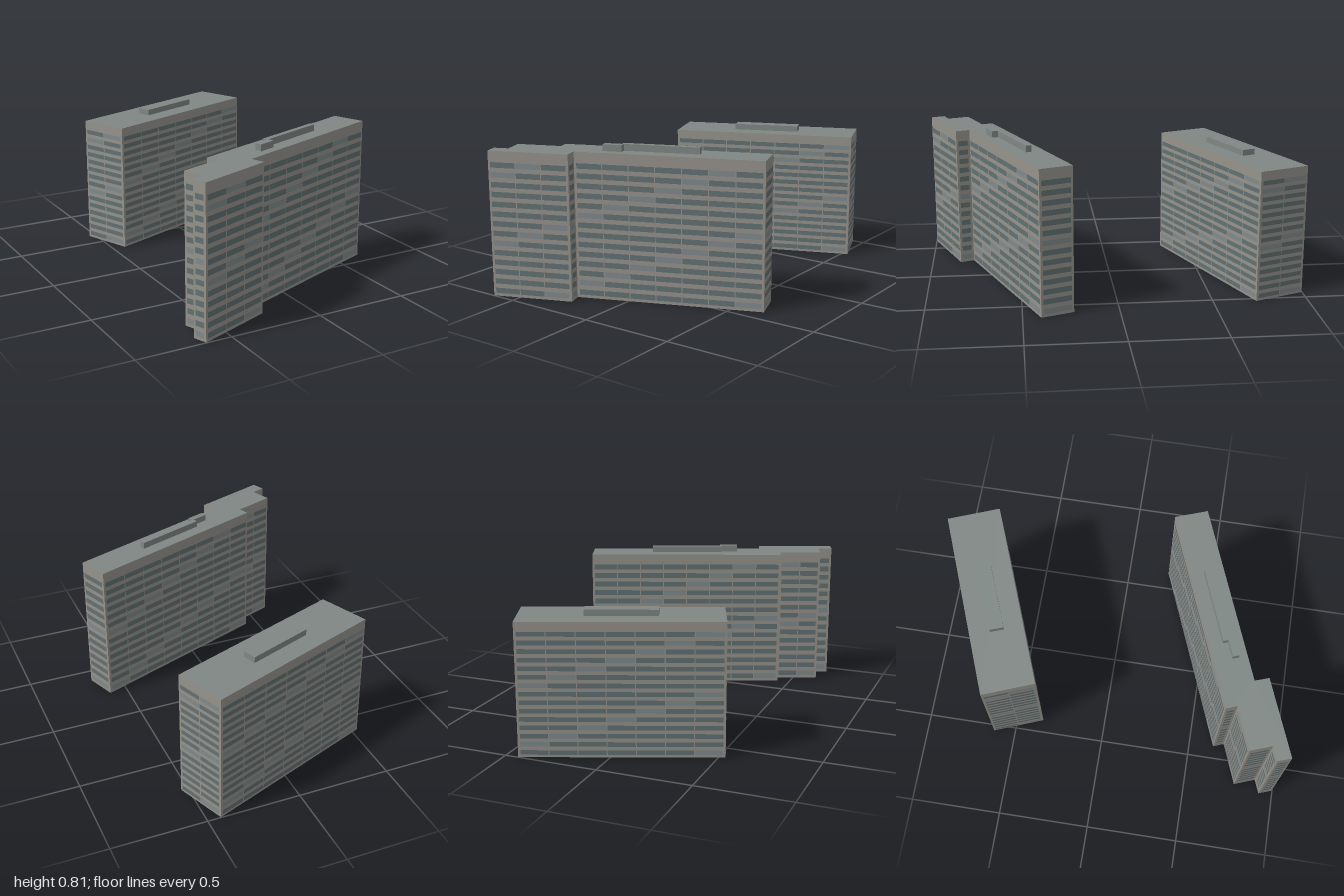
import * as THREE from 'three';
import { mergeGeometries } from 'three/addons/utils/BufferGeometryUtils.js';

const mat = (color) => new THREE.MeshStandardMaterial({ color, side: THREE.DoubleSide });

// Upright rectangle on the wall from a to b, between distances s0..s1 and heights y0..y1
function panel(a, b, s0, s1, y0, y1, offset = 0) {
  const len = Math.hypot(b[0] - a[0], b[1] - a[1]);
  const dx = (b[0] - a[0]) / len, dz = (b[1] - a[1]) / len;
  const nx = dz, nz = -dx; // outward normal
  const s = (s0 + s1) / 2;
  return new THREE.PlaneGeometry(s1 - s0, y1 - y0)
    .rotateY(Math.atan2(nx, nz))
    .translate(a[0] + dx * s + nx * offset, (y0 + y1) / 2, a[1] + dz * s + nz * offset);
}

// Consecutive corner pairs of a footprint, with their length
const edges = (pts) => pts.map((a, i) => {
  const b = pts[(i + 1) % pts.length];
  return { a, b, len: Math.hypot(b[0] - a[0], b[1] - a[1]) };
});

function addMesh(group, name, geometry, material) {
  const mesh = new THREE.Mesh(geometry, material);
  mesh.name = name;
  group.add(mesh);
}

// Open-bottomed prism: walls plus a flat roof
function addBlock(group, prefix, pts, y0, y1, wallMat, roofMat) {
  const walls = edges(pts).map(({ a, b, len }) => panel(a, b, 0, len, y0, y1));
  addMesh(group, prefix + 'Walls', mergeGeometries(walls), wallMat);
  const shape = new THREE.Shape(pts.map(([x, z]) => new THREE.Vector2(x, -z)));
  const roof = new THREE.ShapeGeometry(shape).rotateX(-Math.PI / 2).translate(0, y1, 0);
  addMesh(group, prefix + 'Roof', roof, roofMat);
}

// Ribbon windows on every wall, with pale ones running in diagonals
function addWindows(group, pts, height, floors, darkMat, paleMat) {
  const floor = height / floors, margin = 0.01, gap = 0.0025;
  const dark = [], pale = [];
  for (const { a, b, len } of edges(pts)) {
    const cols = Math.max(1, Math.round((len - 2 * margin) / 0.138));
    const w = (len - 2 * margin) / cols;
    for (let row = 0; row < floors - 1; row++) {
      const y = (row + 0.58) * floor;
      for (let col = 0; col < cols; col++) {
        const s = margin + col * w;
        const list = (row + col) % 7 === 0 ? pale : dark;
        list.push(panel(a, b, s + gap, s + w - gap, y - floor * 0.275, y + floor * 0.275, 0.001));
      }
    }
  }
  addMesh(group, 'darkWindows', mergeGeometries(dark), darkMat);
  addMesh(group, 'paleWindows', mergeGeometries(pale), paleMat);
}

export function createModel() {
  const model = new THREE.Group();
  model.name = 'apartmentBlocks';
  const wallMat = mat(0x96938c), roofMat = mat(0x7f8784);
  const darkMat = mat(0x627173), paleMat = mat(0x7f8a8d);

  const buildings = [
    {
      name: 'frontBuilding', height: 0.775, top: 0.81, floors: 15,
      plan: [[0.598, 0.235], [0.661, 0.405], [-0.259, 0.765], [-0.233, 0.839], [-0.635, 0.997],
        [-0.661, 0.925], [-0.587, 0.896], [-0.63, 0.782], [-0.407, 0.696], [-0.43, 0.638]],
      penthouse: [[0.296, 0.431], [0.307, 0.458], [-0.063, 0.603], [-0.053, 0.635],
        [-0.148, 0.671], [-0.159, 0.638], [-0.074, 0.605], [-0.083, 0.579]],
    },
    {
      name: 'rearBuilding', height: 0.7, top: 0.732, floors: 16,
      plan: [[0.429, -0.998], [0.534, -0.728], [-0.429, -0.352], [-0.534, -0.622]],
      penthouse: [[0.159, -0.775], [0.185, -0.706], [-0.159, -0.569], [-0.185, -0.64]],
    },
  ];

  for (const { name, height, top, floors, plan, penthouse } of buildings) {
    const group = new THREE.Group();
    group.name = name;
    addBlock(group, 'main', plan, 0, height, wallMat, roofMat);
    addWindows(group, plan, height, floors, darkMat, paleMat);
    addBlock(group, 'penthouse', penthouse, height, top, roofMat, roofMat);
    model.add(group);
  }
  return model;
}
